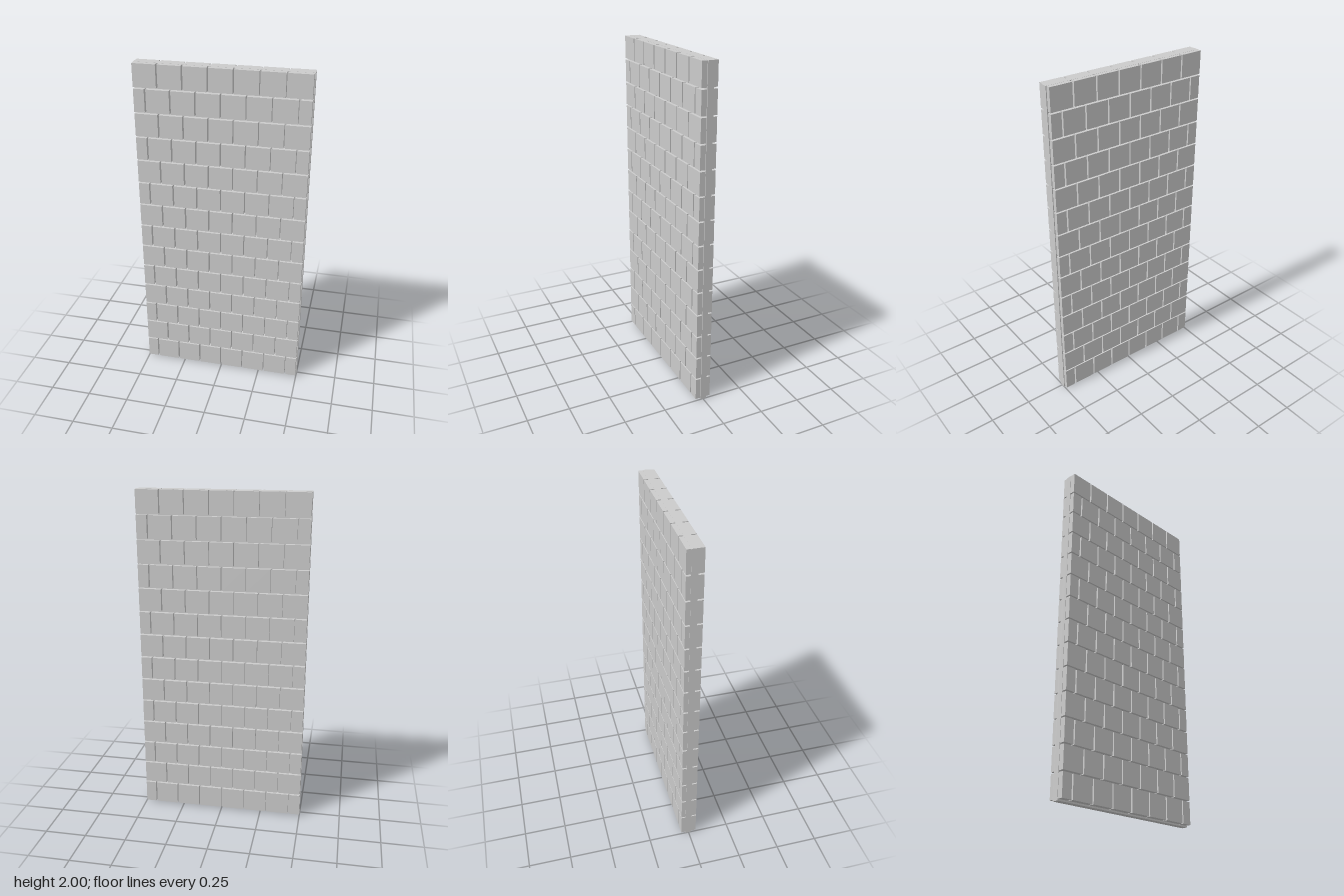
import * as THREE from 'three';

const ROWS = 14, COLS = 7;
const PITCH_X = 0.1432, PITCH_Y = 0.1428;
const BRICK_W = 0.134, BRICK_H = 0.134;
const LEFT = -0.498, BOTTOM = 0.009;
const CORE_BACK = -0.021, CORE_FRONT = 0.015, FACE = 0.0465;

const material = new THREE.MeshStandardMaterial({ color: 0xcccccc, flatShading: true });

// box given by its minimum and maximum corners
function block(name, x0, x1, y0, y1, z0, z1) {
  const mesh = new THREE.Mesh(new THREE.BoxGeometry(x1 - x0, y1 - y0, z1 - z0), material);
  mesh.position.set((x0 + x1) / 2, (y0 + y1) / 2, (z0 + z1) / 2);
  mesh.name = name;
  return mesh;
}

// one face of running-bond bricks between two depths
function brickFace(name, z0, z1) {
  const face = new THREE.Group();
  face.name = name;
  const right = LEFT + (COLS - 1) * PITCH_X + BRICK_W;
  for (let r = 0; r < ROWS; r++) {
    const y0 = BOTTOM + r * PITCH_Y;
    // alternate courses shift by half a brick, ending in half bricks
    const staggered = r % 2 === 0;
    const shift = staggered ? -PITCH_X / 2 : 0;
    for (let c = 0; c < COLS + (staggered ? 1 : 0); c++) {
      const start = LEFT + shift + c * PITCH_X;
      const x0 = Math.max(start, LEFT);
      const x1 = Math.min(start + BRICK_W, right);
      const kind = x1 - x0 < BRICK_W * 0.9 ? 'halfBrick' : 'brick';
      face.add(block(kind, x0, x1, y0, y0 + BRICK_H, z0, z1));
    }
  }
  return face;
}

export function createModel() {
  const wall = new THREE.Group();
  wall.name = 'brickWall';
  // recessed mortar slab with bricks on both sides
  wall.add(block('mortarCore', -0.5, 0.5, 0, 2, CORE_BACK, CORE_FRONT));
  wall.add(brickFace('frontBricks', CORE_FRONT, FACE));
  wall.add(brickFace('backBricks', -FACE, CORE_BACK));
  return wall;
}
